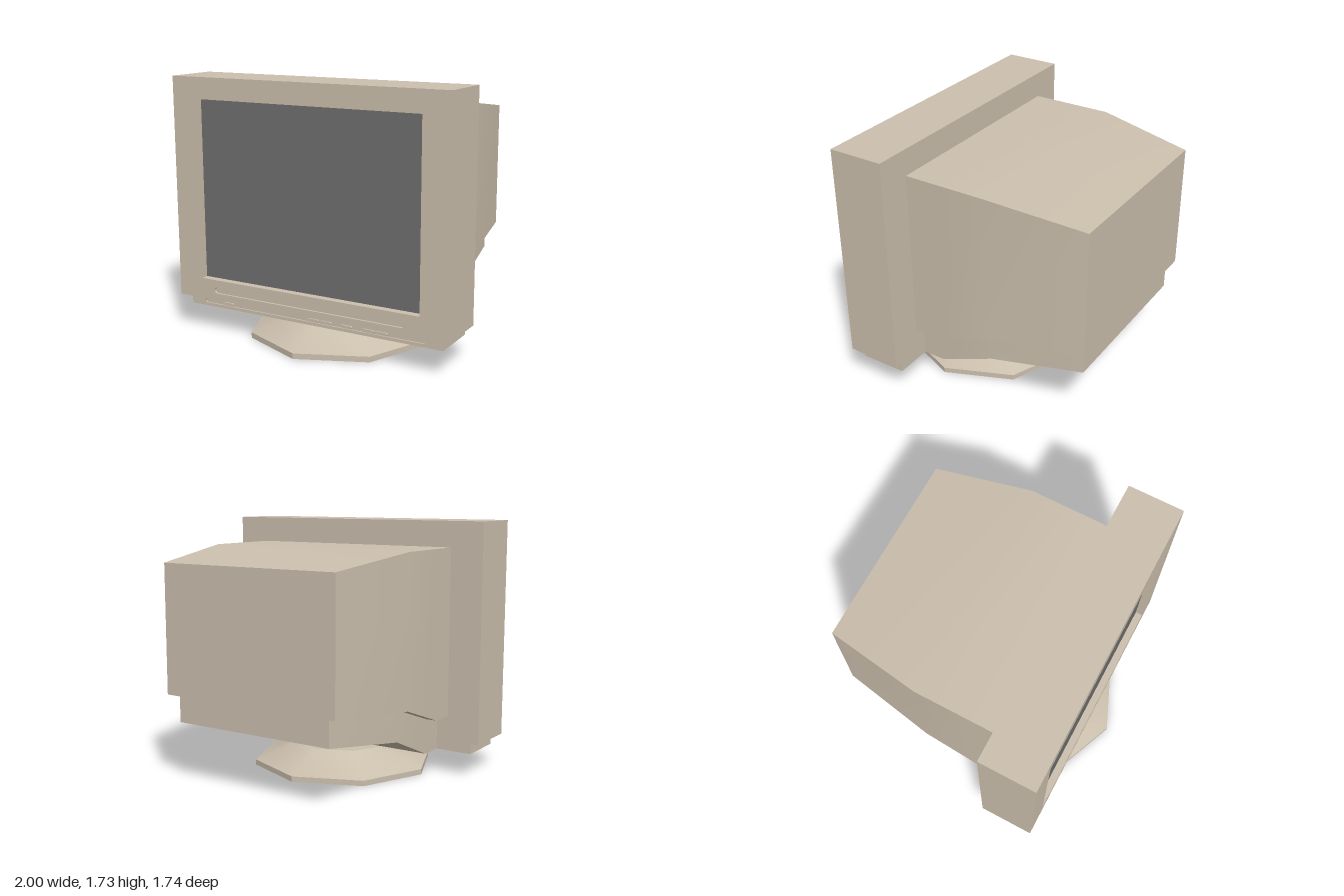
import * as THREE from 'three';
import { toCreasedNormals } from 'three/addons/utils/BufferGeometryUtils.js';

const beige = new THREE.MeshStandardMaterial({ color: 0xcbbfad });
const glass = new THREE.MeshStandardMaterial({ color: 0x6e6e6e });

// Stadium outline, x0..x1 wide and y0..y1 high
function pill(target, x0, x1, y0, y1) {
  const r = (y1 - y0) / 2, cy = (y0 + y1) / 2;
  target.moveTo(x0 + r, y0);
  target.lineTo(x1 - r, y0);
  target.absarc(x1 - r, cy, r, -Math.PI / 2, Math.PI / 2, false);
  target.lineTo(x0 + r, y1);
  target.absarc(x0 + r, cy, r, Math.PI / 2, Math.PI * 1.5, false);
  return target;
}

function rect(target, x0, x1, y0, y1) {
  target.moveTo(x0, y0);
  target.lineTo(x1, y0);
  target.lineTo(x1, y1);
  target.lineTo(x0, y1);
  target.closePath();
  return target;
}

// Extrude a shape between two z planes
function plate(shape, z0, z1) {
  const g = new THREE.ExtrudeGeometry(shape, { depth: z1 - z0, bevelEnabled: false, curveSegments: 8 });
  return g.translate(0, 0, z0);
}

function block(x0, x1, y0, y1, z0, z1) {
  return new THREE.BoxGeometry(x1 - x0, y1 - y0, z1 - z0)
    .translate((x0 + x1) / 2, (y0 + y1) / 2, (z0 + z1) / 2);
}

// Rectangular sections [z, halfWidth, bottom, top] from front to back;
// each side is smooth along its length, with sharp corners between sides
function hull(stations) {
  const rings = stations.map(([z, w, b, t]) => [[w, b, z], [w, t, z], [-w, t, z], [-w, b, z]]);
  const pos = [], index = [];
  for (let side = 0; side < 4; side++) {
    const base = pos.length / 3;
    rings.forEach((ring, s) => {
      pos.push(...ring[side], ...ring[(side + 1) % 4]);
      if (s === 0) return;
      const f = base + (s - 1) * 2, k = f + 2;
      index.push(f, k, k + 1, f, k + 1, f + 1);
    });
  }
  for (const ring of [rings[0], [...rings[rings.length - 1]].reverse()]) {
    const base = pos.length / 3;
    ring.forEach((p) => pos.push(...p));
    index.push(base, base + 1, base + 2, base, base + 2, base + 3);
  }
  const g = new THREE.BufferGeometry();
  g.setAttribute('position', new THREE.Float32BufferAttribute(pos, 3));
  g.setIndex(index);
  g.computeVertexNormals();
  return g;
}

export function createModel() {
  const model = new THREE.Group();
  model.name = 'crtMonitor';
  const add = (name, geometry, material = beige, parent = model) => {
    const mesh = new THREE.Mesh(geometry, material);
    mesh.name = name;
    parent.add(mesh);
    return mesh;
  };

  // Front bezel with the screen opening and a long shallow slot
  const frame = rect(new THREE.Shape(), -1, 1, 0.235, 1.725);
  frame.holes.push(rect(new THREE.Path(), -0.812, 0.812, 0.375, 1.582));
  frame.holes.push(pill(new THREE.Path(), -0.71, 0.71, 0.283, 0.327));
  add('bezelFrame', plate(frame, 0.66, 0.73));
  add('bezelBack', block(-1, 1, 0.235, 1.725, 0.35, 0.66));
  add('bezelSlotFloor', plate(pill(new THREE.Shape(), -0.71, 0.71, 0.283, 0.327), 0.66, 0.715));
  add('screen', block(-0.812, 0.812, 0.375, 1.582, 0.655, 0.68), glass);

  // Control strip below the bezel, with its groove and buttons
  const strip = rect(new THREE.Shape(), -0.945, 0.945, 0.165, 0.235);
  strip.holes.push(pill(new THREE.Path(), -0.83, 0.83, 0.186, 0.214));
  add('controlStrip', plate(strip, 0.655, 0.675));
  add('controlStripBack', block(-0.945, 0.945, 0.165, 0.235, 0.35, 0.655));
  add('controlGrooveFloor', plate(pill(new THREE.Shape(), -0.83, 0.83, 0.186, 0.214), 0.65, 0.665));
  const buttons = new THREE.Group();
  buttons.name = 'buttons';
  model.add(buttons);
  for (const x of [-0.643, 0.028, 0.123, 0.272, 0.433, 0.523]) {
    add('button', plate(pill(new THREE.Shape(), x - 0.043, x + 0.043, 0.19, 0.21), 0.66, 0.679), beige, buttons);
  }

  // Tapered rear housing and the narrower shell beneath it
  add('rearHousing', hull([
    [0.35, 0.77, 0.405, 1.55],
    [0.19, 0.77, 0.405, 1.55],
    [-0.21, 0.77, 0.545, 1.55],
    [-0.87, 0.66, 0.6, 1.465],
  ]));
  add('lowerShell', hull([
    [0.35, 0.69, 0.165, 0.42],
    [0.19, 0.69, 0.165, 0.42],
    [-0.2, 0.69, 0.33, 0.57],
    [-0.83, 0.59, 0.415, 0.62],
  ]));

  // Eight-sided swivel foot
  const profile = [[0, 0], [0.635, 0], [0.635, 0.037], [0.46, 0.105], [0.36, 0.165], [0, 0.165]]
    .map(([r, y]) => new THREE.Vector2(r, y));
  const foot = add('swivelBase', toCreasedNormals(new THREE.LatheGeometry(profile, 8), 0.5));
  foot.position.z = 0.235;

  return model;
}
